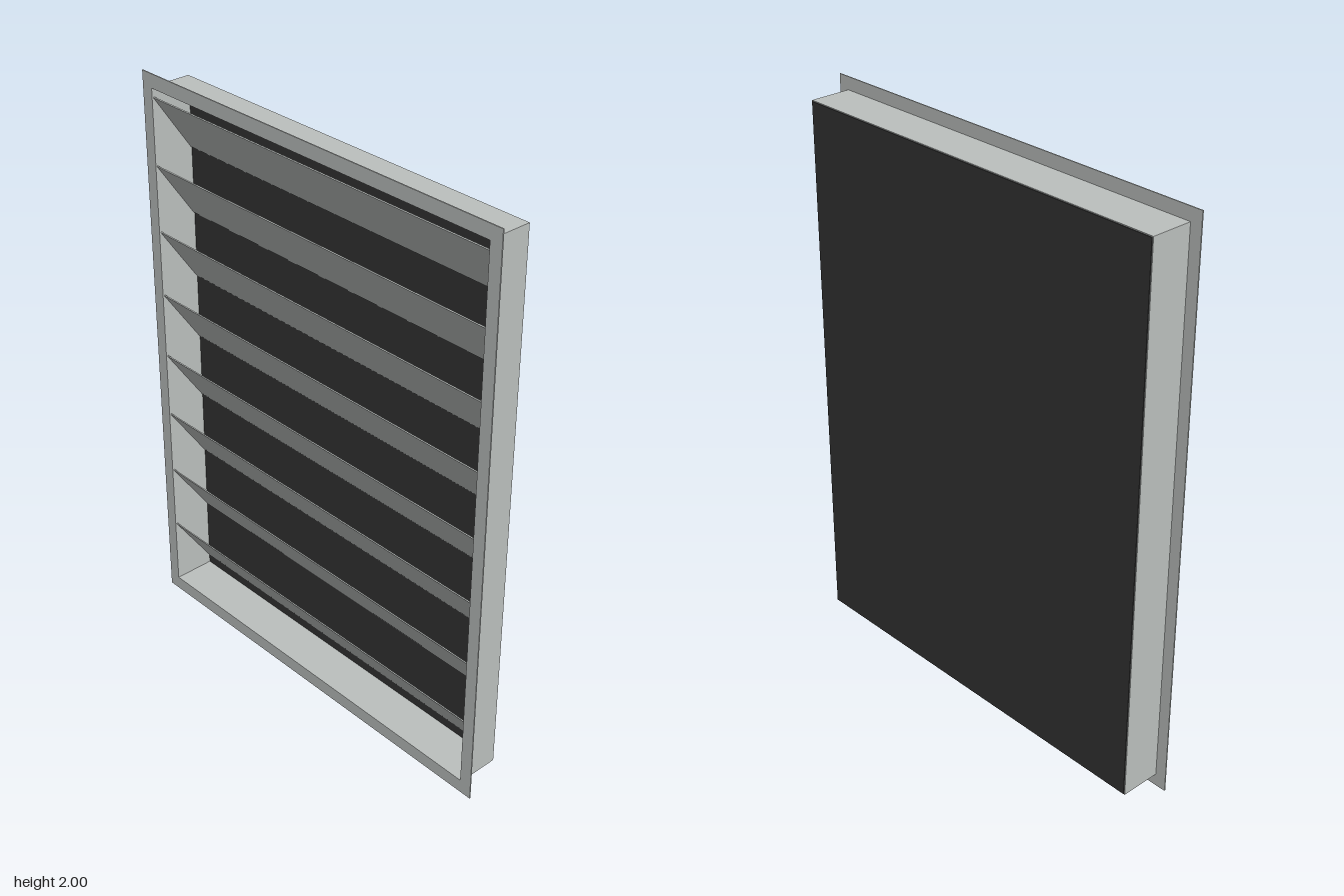
import * as THREE from 'three';

const aluminium = new THREE.MeshStandardMaterial({ color: 0xbcc0be });
aluminium.name = 'aluminium grey';
const dark = new THREE.MeshStandardMaterial({ color: 0x333333 });
dark.name = 'dark grey';

const CY = 1; // centre height

// Rectangular ring extruded along z, from z0 to z1
function ring(name, w, h, innerW, innerH, z0, z1) {
  const rect = (Type, a, b) => new Type([
    new THREE.Vector2(-a / 2, -b / 2), new THREE.Vector2(a / 2, -b / 2),
    new THREE.Vector2(a / 2, b / 2), new THREE.Vector2(-a / 2, b / 2),
  ]);
  const shape = rect(THREE.Shape, w, h);
  shape.holes.push(rect(THREE.Path, innerW, innerH));
  const geo = new THREE.ExtrudeGeometry(shape, { depth: z1 - z0, bevelEnabled: false });
  const mesh = new THREE.Mesh(geo, aluminium);
  mesh.name = name;
  mesh.position.set(0, CY, z0);
  return mesh;
}

export function createModel() {
  const group = new THREE.Group();
  group.name = 'louvreVent';

  // Thin front flange and the deep duct frame behind it
  group.add(ring('flange', 1.53, 2, 1.442, 1.904, 0.072, 0.076));
  group.add(ring('frame', 1.45, 1.912, 1.442, 1.904, -0.073, 0.072));

  // Dark panel closing the back
  const back = new THREE.Mesh(new THREE.BoxGeometry(1.444, 1.906, 0.004), dark);
  back.name = 'backPanel';
  back.position.set(0, CY, -0.074);
  group.add(back);

  // Sloping slats, high at the front and low at the back
  const rise = 0.205, run = 0.14, count = 8, pitch = 0.233;
  const slatGeo = new THREE.BoxGeometry(1.442, Math.hypot(rise, run), 0.004);
  const slats = new THREE.Group();
  slats.name = 'slats';
  for (let i = 0; i < count; i++) {
    const slat = new THREE.Mesh(slatGeo, aluminium);
    slat.name = 'slat' + (i + 1);
    slat.position.set(0, CY + 0.003 + (i - (count - 1) / 2) * pitch, 0);
    slat.rotation.x = Math.atan2(run, rise);
    slats.add(slat);
  }
  group.add(slats);
  return group;
}
